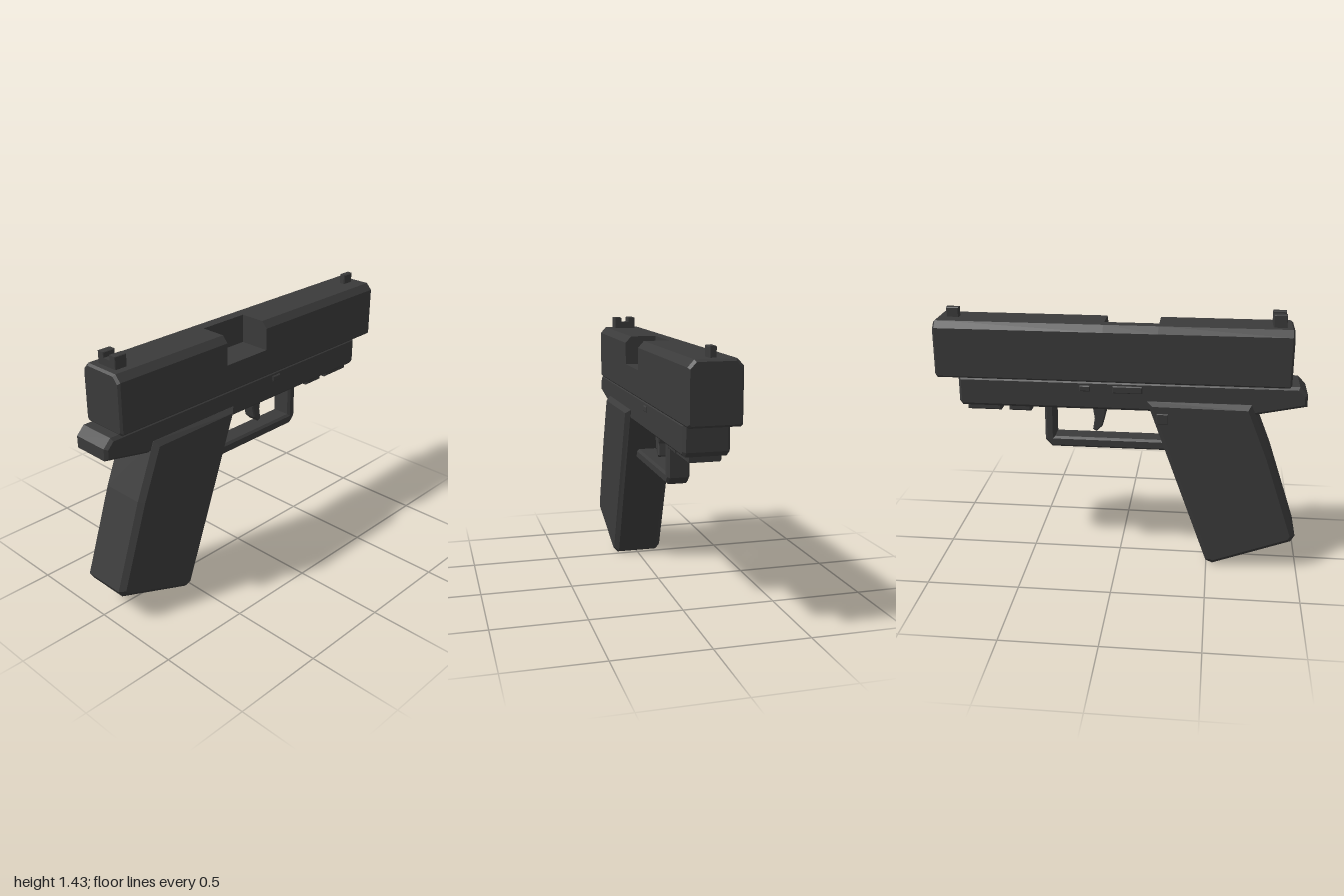
import * as THREE from 'three';

const gunmetal = new THREE.MeshStandardMaterial({ color: 0x3b3b3b });
gunmetal.name = 'gunmetal';

// Side profile of [z, y] points, extruded across x with chamfered edges kept inside the outline
function plate(name, profile, width, bevel, x = 0) {
  const shape = new THREE.Shape(profile.map(([z, y]) => new THREE.Vector2(z, y)));
  const depth = width - 2 * bevel;
  const geo = new THREE.ExtrudeGeometry(shape, {
    depth, bevelEnabled: bevel > 0, bevelSize: bevel, bevelThickness: bevel, bevelOffset: -bevel, bevelSegments: 1,
  });
  geo.rotateY(-Math.PI / 2).translate(x + depth / 2, 0, 0);
  const mesh = new THREE.Mesh(geo, gunmetal);
  mesh.name = name;
  return mesh;
}

// Chamfered block given by its z and y ranges
function block(name, z0, z1, y0, y1, width, bevel, x = 0) {
  return plate(name, [[z0, y0], [z1, y0], [z1, y1], [z0, y1]], width, bevel, x);
}

// Skin through cross-sections { z, pts } running from -z to +z, capped at both ends
function loft(name, sections) {
  const pos = [];
  const tri = (...corners) => corners.forEach(([p, z]) => pos.push(p[0], p[1], z));
  for (let s = 0; s < sections.length - 1; s++) {
    const a = sections[s], b = sections[s + 1], n = a.pts.length;
    for (let i = 0; i < n; i++) {
      const j = (i + 1) % n;
      tri([a.pts[i], a.z], [a.pts[j], a.z], [b.pts[j], b.z]);
      tri([a.pts[i], a.z], [b.pts[j], b.z], [b.pts[i], b.z]);
    }
  }
  const first = sections[0], last = sections[sections.length - 1];
  for (let i = 1; i < first.pts.length - 1; i++) {
    tri([first.pts[0], first.z], [first.pts[i + 1], first.z], [first.pts[i], first.z]);
    tri([last.pts[0], last.z], [last.pts[i], last.z], [last.pts[i + 1], last.z]);
  }
  const geo = new THREE.BufferGeometry();
  geo.setAttribute('position', new THREE.Float32BufferAttribute(pos, 3));
  geo.computeVertexNormals();
  const mesh = new THREE.Mesh(geo, gunmetal);
  mesh.name = name;
  return mesh;
}

export function createModel() {
  const model = new THREE.Group();
  model.name = 'pistol';

  // Slide with a squared port cut into its top left edge
  const full = [[-0.122, 1.057], [0.122, 1.057], [0.132, 1.067], [0.132, 1.21], [0.132, 1.33],
    [0.1, 1.365], [-0.04, 1.365], [-0.1, 1.365], [-0.132, 1.33], [-0.132, 1.067]];
  const cut = full.map((p) => [...p]);
  cut[4] = [0.08, 1.21];
  cut[5] = [-0.04, 1.21];
  const inset = full.map(([x, y]) => [x * 0.92, 1.21 + (y - 1.21) * 0.93]);
  model.add(loft('slide', [
    { z: -0.993, pts: inset }, { z: -0.982, pts: full },
    { z: -0.08, pts: full }, { z: -0.08, pts: cut },
    { z: 0.21, pts: cut }, { z: 0.21, pts: full },
    { z: 0.902, pts: full }, { z: 0.913, pts: inset },
  ]));

  // Frame with the rear tang
  model.add(plate('frame', [[-0.855, 0.898], [0.735, 0.898], [1, 0.953], [1, 1.016], [0.957, 1.06],
    [-0.871, 1.06], [-0.871, 0.922]], 0.232, 0.015));

  // Raked grip
  model.add(plate('grip', [[0.155, 0.957], [0.711, 0.957], [0.829, 0.663], [0.984, 0.2], [0.963, 0.163],
    [0.535, 0.003], [0.497, 0.02]], 0.288, 0.026));

  // Trigger guard and trigger
  model.add(plate('triggerGuard', [[-0.358, 0.91], [-0.412, 0.91], [-0.412, 0.692], [-0.376, 0.652],
    [0.34, 0.652], [0.34, 0.711], [-0.358, 0.711]], 0.12, 0.012));
  model.add(plate('trigger', [[-0.075, 0.91], [-0.078, 0.845], [-0.096, 0.775], [-0.128, 0.743],
    [-0.148, 0.754], [-0.138, 0.818], [-0.148, 0.88], [-0.15, 0.91]], 0.075, 0.006));

  // Accessory rail lugs
  model.add(block('rearRailLug', -0.604, -0.481, 0.866, 0.91, 0.17, 0.008));
  model.add(block('frontRailLug', -0.834, -0.647, 0.866, 0.91, 0.17, 0.008));

  // Sights
  model.add(block('frontSight', -0.941, -0.872, 1.355, 1.418, 0.036, 0.005));
  model.add(block('rearSightBase', 0.802, 0.872, 1.355, 1.402, 0.125, 0.003));
  for (const side of [-1, 1]) {
    model.add(block('rearSightPost', 0.802, 0.872, 1.36, 1.43, 0.042, 0.003, side * 0.042));
  }

  // Cross pin, slide lever and grip button
  model.add(block('crossPin', -0.208, -0.15, 1.002, 1.034, 0.248, 0.005));
  model.add(block('slideLever', -0.03, 0.13, 0.997, 1.037, 0.03, 0.005, -0.11));
  model.add(block('gripButton', 0.21, 0.272, 0.84, 0.898, 0.03, 0.004, -0.136));

  return model;
}
